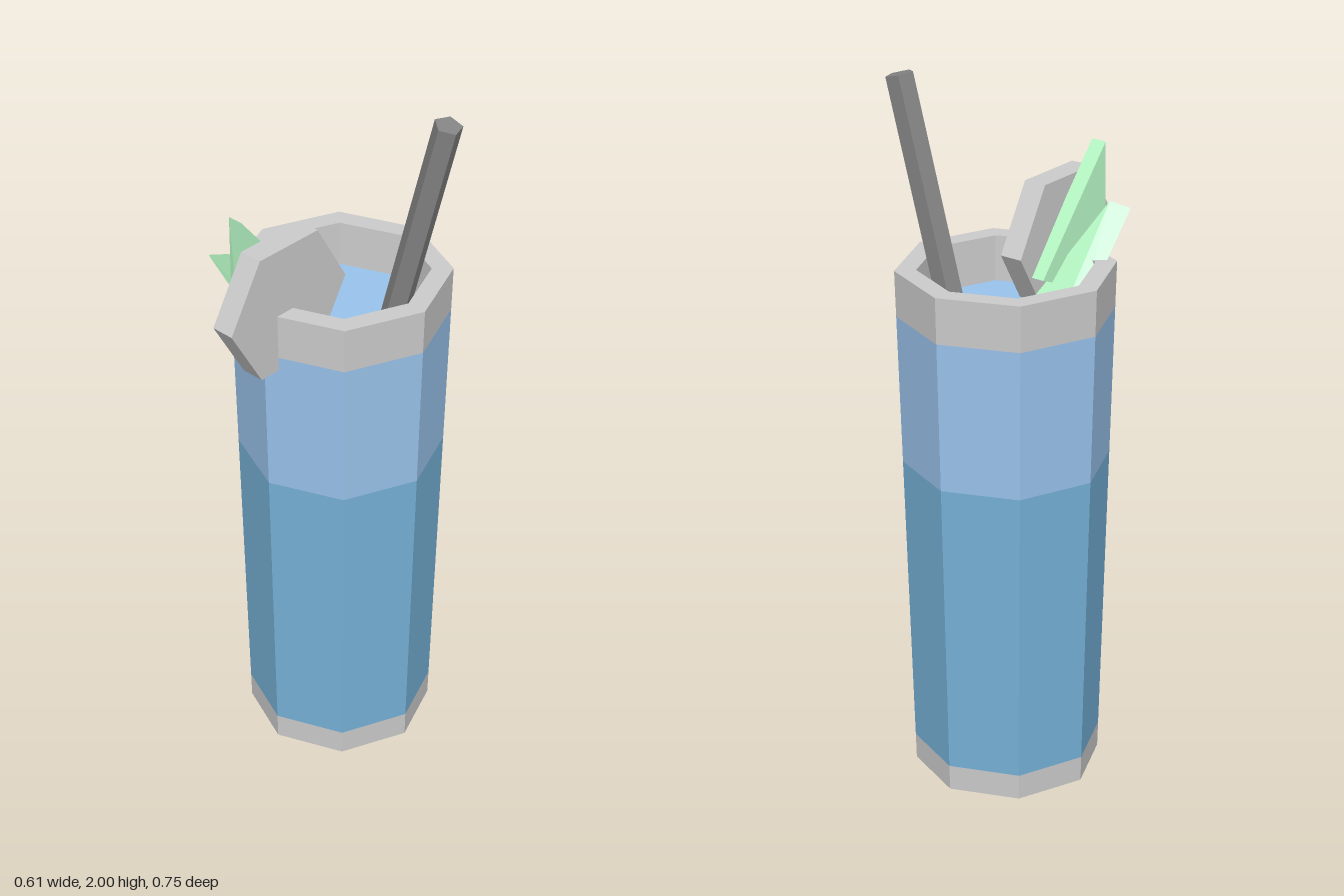
import * as THREE from 'three';

const mat = (color, side = THREE.FrontSide) =>
  new THREE.MeshStandardMaterial({ color, flatShading: true, side });

const GREY = mat(0xcccccc);
const STRAW = mat(0x858585);
const DRINK_TOP = mat(0x99c3ec);
const DRINK_LOW = mat(0x76b1d7);
const LEAF = mat(0xb4f5c2, THREE.DoubleSide);

const outerRadius = (y) => 0.262 + 0.0245 * y;

function named(name, geometry, material) {
  const mesh = new THREE.Mesh(geometry, material);
  mesh.name = name;
  return mesh;
}

// Eight-sided turned part from [radius, height] points
function turned(name, profile, material) {
  const points = profile.map(([r, y]) => new THREE.Vector2(r, y));
  return named(name, new THREE.LatheGeometry(points, 8), material);
}

// Thin slab joining two matching outlines
function slab(name, left, right) {
  const n = left.length;
  const index = [];
  for (let i = 0; i < n; i++) {
    const j = (i + 1) % n;
    index.push(i, j, n + j, i, n + j, n + i);
    if (i > 0 && i < n - 1) index.push(0, i + 1, i, n, n + i, n + i + 1);
  }
  const geometry = new THREE.BufferGeometry();
  geometry.setAttribute('position', new THREE.Float32BufferAttribute([...left, ...right].flat(), 3));
  geometry.setIndex(index);
  const flat = geometry.toNonIndexed();
  flat.computeVertexNormals();
  return named(name, flat, LEAF);
}

export function createModel() {
  const model = new THREE.Group();
  model.name = 'drinkGlass';

  // Tapered glass, banded by its contents
  const glass = new THREE.Group();
  glass.name = 'glass';
  glass.position.set(-0.008, 0, -0.075);
  const R = outerRadius;
  glass.add(
    turned('glassBase', [[0, 0.035], [0.21, 0.035], [R(0), 0], [R(0.075), 0.075]], GREY),
    turned('lowerDrink', [[R(0.075), 0.075], [R(0.935), 0.935]], DRINK_LOW),
    turned('upperDrink', [[R(0.935), 0.935], [R(1.36), 1.36]], DRINK_TOP),
    turned('drinkSurface', [[0.24, 1.36], [0, 1.36]], DRINK_TOP),
    turned('glassRim', [[R(1.36), 1.36], [R(1.49), 1.49], [0.24, 1.49], [0.237, 1.36]], GREY)
  );
  model.add(glass);

  // Five-sided leaning straw
  const foot = new THREE.Vector3(0.095, 1.3, -0.154);
  const tip = new THREE.Vector3(0.267, 1.992, -0.173);
  const axis = tip.clone().sub(foot);
  const straw = named('straw', new THREE.CylinderGeometry(0.039, 0.039, axis.length(), 5), STRAW);
  straw.position.copy(foot).add(tip).multiplyScalar(0.5);
  straw.quaternion.setFromUnitVectors(new THREE.Vector3(0, 1, 0), axis.normalize());
  model.add(straw);

  // Six-sided fruit slice sitting on the rim, points along z
  const slice = named('fruitSlice', new THREE.CylinderGeometry(0.211, 0.211, 0.067, 6), GREY);
  slice.rotation.z = Math.PI / 2;
  slice.position.set(-0.0035, 1.503, 0.162);
  model.add(slice);

  // Two garnish leaves beside the slice
  model.add(
    slab('uprightLeaf',
      [[-0.087, 1.765, 0.26], [-0.105, 1.345, 0.24], [-0.075, 1.44, 0]],
      [[-0.042, 1.765, 0.26], [-0.06, 1.355, 0.25], [-0.03, 1.44, 0]]),
    slab('leaningLeaf',
      [[-0.185, 1.602, 0.243], [-0.06, 1.34, 0.15], [-0.08, 1.33, 0], [-0.205, 1.35, -0.02]],
      [[-0.132, 1.617, 0.22], [-0.006, 1.36, 0.13], [-0.035, 1.365, -0.02], [-0.163, 1.37, -0.04]])
  );
  return model;
}
